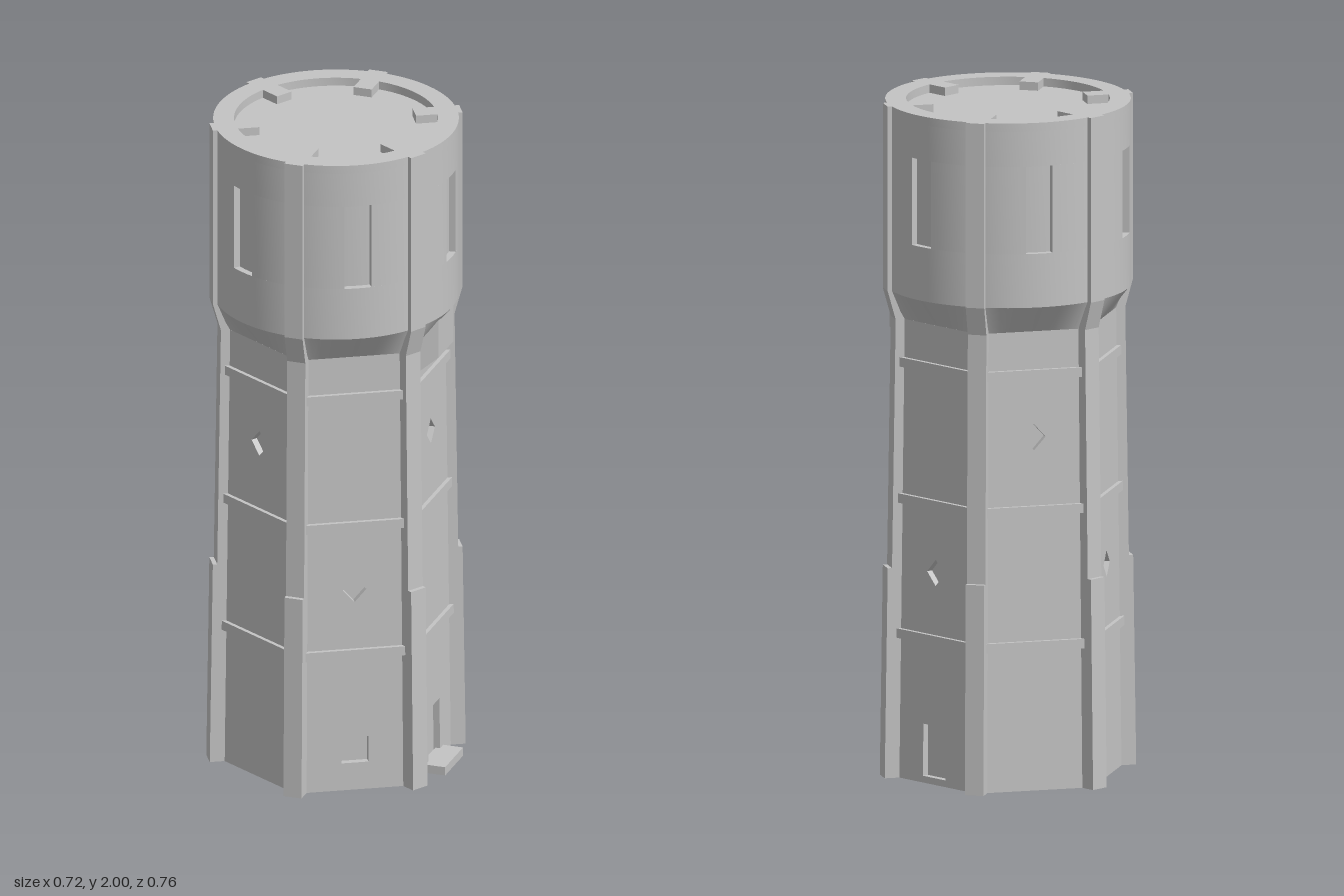
import * as THREE from 'three';
import { toCreasedNormals } from 'three/addons/utils/BufferGeometryUtils.js';

const H = 1.365, BASE = 1.45, TOP = 2;      // wall top, drum bottom, drum top
const A0 = 0.304, A1 = 0.29, R = 0.358;     // wall apothems at foot and top, drum radius
const RECESS = 0.02, HALF = 0.028;          // recess depth, half width of a rib
const COS30 = Math.cos(Math.PI / 6), TAN30 = Math.tan(Math.PI / 6);
const stone = new THREE.MeshStandardMaterial({ color: 0xc4c4c4 });
stone.name = 'stone grey';

function mesh(name, geometry, parent) {
  const m = new THREE.Mesh(geometry, stone);
  m.name = name;
  parent.add(m);
  return m;
}

const poly = (pts) => pts.map(([x, y]) => new THREE.Vector2(x, y));
const rect = (w, y0, y1) => poly([[-w, y0], [-w, y1], [w, y1], [w, y0]]);
const diamond = (y) => poly([[-0.035, y], [0, y + 0.039], [0.035, y], [0, y - 0.039]]);
const extrude = (shape, depth) => new THREE.ExtrudeGeometry(shape, { depth, bevelEnabled: false });

// Points along an arc around the origin
function arc(radius, a, b, n) {
  const pts = [];
  for (let i = 0; i <= n; i++) {
    const t = a + (b - a) * i / n;
    pts.push(new THREE.Vector2(radius * Math.cos(t), radius * Math.sin(t)));
  }
  return pts;
}

// Horizontal slice of the drum between two heights
function slice(name, points, y0, y1, parent, hole) {
  const shape = new THREE.Shape(points);
  if (hole) shape.holes.push(new THREE.Path(hole));
  const geo = extrude(shape, y1 - y0).rotateX(-Math.PI / 2).translate(0, y0, 0);
  mesh(name, toCreasedNormals(geo, 0.4), parent);
}

function drum(parent) {
  const circle = arc(R, 0, Math.PI * 2, 96).slice(0, -1);
  const notched = [], rimHole = [];
  const w = Math.asin(0.04 / R);            // half angle of a window
  const ri = 0.297, rt = 0.232;             // roof recess radius, tab inner radius
  const t = Math.asin(HALF / ri);           // half angle of a tab
  for (let k = 0; k < 6; k++) {
    const a = k * Math.PI / 3, next = a + Math.PI / 3, mid = a + Math.PI / 6;
    notched.push(...arc(R - RECESS, a - w, a + w, 3), ...arc(R, a + w, next - w, 12));
    // Recess edge up to the tab, then the square tab itself
    rimHole.push(...arc(ri, mid - Math.PI / 3 + t, mid - t, 12));
    for (const s of [-HALF, HALF]) {
      rimHole.push(new THREE.Vector2(
        rt * Math.cos(mid) - s * Math.sin(mid), rt * Math.sin(mid) + s * Math.cos(mid)));
    }
  }
  slice('drumLower', circle, BASE, 1.61, parent);
  slice('drumWindowBand', notched, 1.61, 1.87, parent);
  slice('drumUpper', circle, 1.87, 1.975, parent);
  slice('roofRim', circle, 1.975, TOP, parent, rimHole);
}

// Collar changing from the hexagonal wall to the round drum
function collar(parent) {
  const geo = new THREE.CylinderGeometry(R, A1, BASE - H, 96, 1, true);
  const p = geo.attributes.position;
  for (let i = 0; i < p.count; i++) {
    if (p.getY(i) > 0) continue;
    const a = Math.atan2(p.getX(i), p.getZ(i)) + Math.PI * 2;
    const r = A1 / Math.cos((a % (Math.PI / 3)) - Math.PI / 6);
    p.setXYZ(i, r * Math.sin(a), p.getY(i), r * Math.cos(a));
  }
  geo.translate(0, (H + BASE) / 2, 0);
  mesh('collar', toCreasedNormals(geo, 0.4), parent);
}

// One wall side with its openings and three bands
function wallSide(index, parent) {
  const side = new THREE.Group();
  side.name = 'wallSide';
  side.rotation.y = Math.PI / 6 + index * Math.PI / 3;
  parent.add(side);
  const tilted = new THREE.Group();
  tilted.name = 'wallFace';
  tilted.position.z = A0;
  tilted.rotation.x = -Math.atan((A0 - A1) / H);
  side.add(tilted);

  const b = A0 * TAN30, t = A1 * TAN30;
  const shape = new THREE.Shape(poly([[-b, 0], [b, 0], [t, H], [-t, H]]));
  const holes = [diamond(index % 2 ? 1.05 : 0.63)];
  if (index === 0) holes.push(rect(0.04, 0.085, 0.165));   // small window
  if (index === 1) holes.push(rect(0.05, 0.02, 0.185));    // door
  if (index === 2) holes.push(rect(0.046, 0.02, 0.175));   // tall window
  holes.forEach((h) => shape.holes.push(new THREE.Path(h)));
  mesh('wallPanel', extrude(shape, RECESS).translate(0, 0, -RECESS), tilted);

  for (const y of [0.431, 0.833, 1.238]) {
    const w = (b + (t - b) * y / H) * 2 - 0.01;
    mesh('band', new THREE.BoxGeometry(w, 0.028, 0.024), tilted).position.set(0, y, 0);
  }
  return side;
}

// Corner rib following the wall, stepping in and flaring out to the drum
function rib(index, parent) {
  const shape = new THREE.Shape(poly([
    [0.27, 0], [0.379, 0], [0.37, 0.625], [0.357, 0.625], [0.346, 1.365],
    [0.37, BASE], [0.37, TOP], [0.34, TOP], [0.34, BASE], [0.27, 1.36]]));
  const geo = extrude(shape, HALF * 2).translate(0, 0, -HALF).rotateY(-Math.PI / 2);
  mesh('cornerRib', geo, parent).rotation.y = index * Math.PI / 3;
}

// Bay under the drum, widening toward the wall
function bay(parent) {
  const geo = new THREE.BoxGeometry(2, 2, 2);
  const p = geo.attributes.position;
  for (let i = 0; i < p.count; i++) {
    const front = p.getZ(i) > 0, up = p.getY(i) > 0;
    p.setXYZ(i, p.getX(i) * (front ? 0.066 : 0.09),
      up ? 1.435 : (front ? 1.315 : 1.27), front ? 0.34 : 0.285);
  }
  const flat = geo.toNonIndexed();
  flat.computeVertexNormals();
  mesh('bay', flat, parent);
}

export function createModel() {
  const model = new THREE.Group();
  model.name = 'waterTower';
  const tower = new THREE.Group();
  tower.name = 'tower';
  tower.position.x = -0.004;
  model.add(tower);

  // Inner hexagonal core behind the wall openings
  const core = new THREE.CylinderGeometry(
    (A1 - RECESS) / COS30, (A0 - RECESS) / COS30, H, 6).toNonIndexed();
  core.computeVertexNormals();
  mesh('core', core, tower).position.y = H / 2;

  for (let i = 0; i < 6; i++) {
    const side = wallSide(i, tower);
    rib(i, tower);
    if (i === 1) {
      bay(side);
      const step = new THREE.BoxGeometry(0.156, 0.026, 0.075);
      mesh('doorStep', step, side).position.set(0, 0.013, 0.3275);
    }
  }
  collar(tower);
  drum(tower);
  return model;
}
